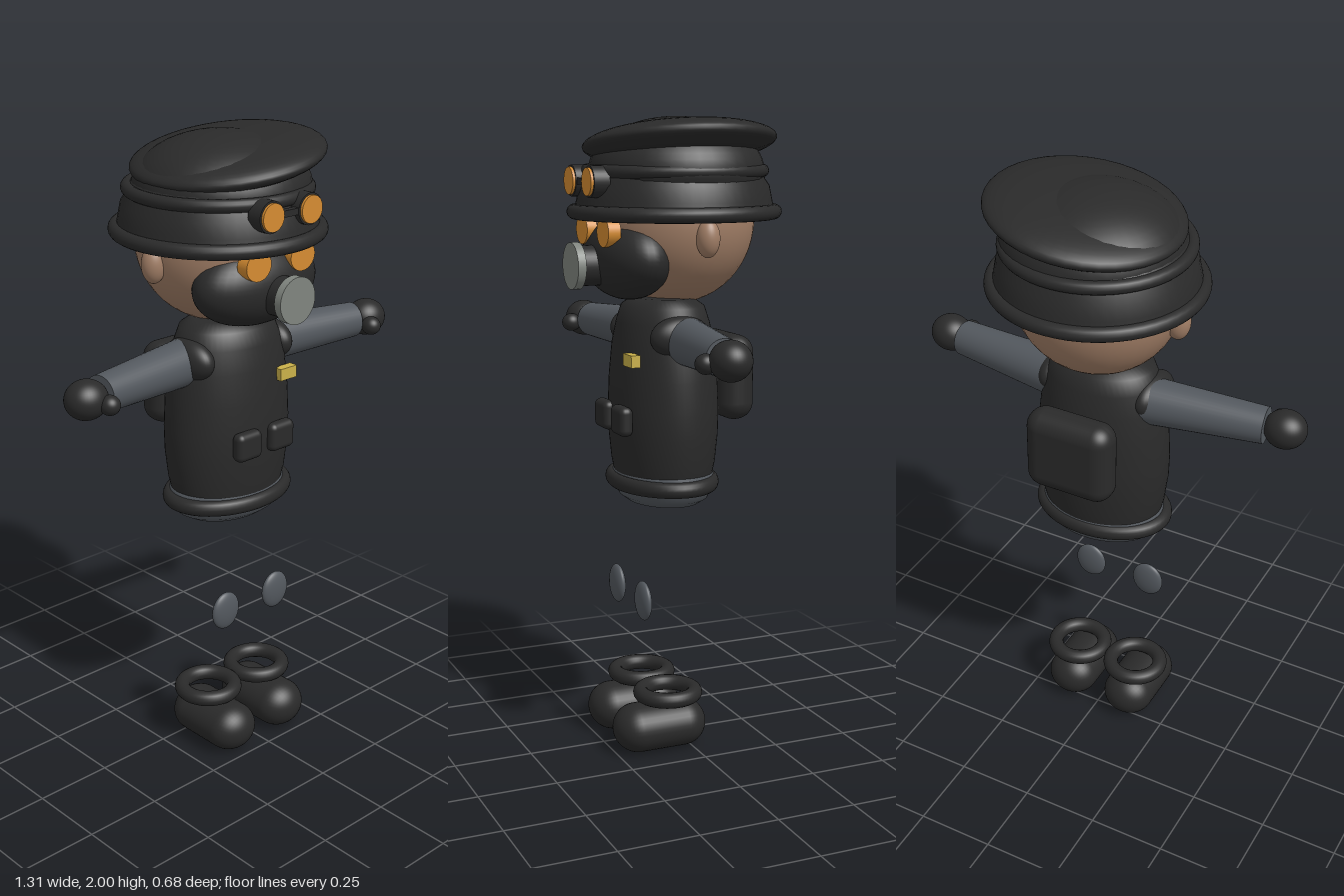
import * as THREE from 'three';
import { RoundedBoxGeometry } from 'three/addons/geometries/RoundedBoxGeometry.js';

const mat = (name, color, side = THREE.FrontSide) => {
  const m = new THREE.MeshStandardMaterial({ color, side });
  m.name = name;
  return m;
};

export function createModel() {
  const root = new THREE.Group();
  root.name = 'figure';
  const black = mat('black cloth', 0x2a2a2a, THREE.DoubleSide);
  const slate = mat('slate cloth', 0x53585e);
  const skin = mat('skin', 0xa17e66);
  const amber = mat('amber glass', 0xd58c32);
  const brass = mat('brass', 0xcbb14a);
  const steel = mat('steel', 0x80857f);

  const add = (name, geo, material, pos = [0, 0, 0], scale = [1, 1, 1], rot = [0, 0, 0], parent = root) => {
    const m = new THREE.Mesh(geo, material);
    m.name = name;
    m.position.set(...pos);
    m.scale.set(...scale);
    m.rotation.set(...rot);
    parent.add(m);
    return m;
  };
  const ball = new THREE.SphereGeometry(1, 40, 28);
  const ellipsoid = (name, material, pos, radii, rot) => add(name, ball, material, pos, radii, rot);
  // Flat ring lying in the horizontal plane
  const ring = (name, R, r, pos, sx = 1, sz = 1) =>
    add(name, new THREE.TorusGeometry(R, r, 16, 56).rotateX(Math.PI / 2), black, pos, [sx, 1, sz]);
  // Disc or tube facing forward
  const disc = (name, material, r, depth, pos, scale) =>
    add(name, new THREE.CylinderGeometry(r, r, depth, 36).rotateX(Math.PI / 2), material, pos, scale);
  const lathe = (name, material, pts, pos, sz = 1) =>
    add(name, new THREE.LatheGeometry(pts.map(p => new THREE.Vector2(...p)), 56), material, pos, [1, 1, sz]);

  // Head and breathing mask
  ellipsoid('head', skin, [0, 1.685, 0], [0.263, 0.26, 0.246]);
  ellipsoid('mask', black, [0, 1.572, 0.162], [0.23, 0.13, 0.12]);
  disc('filterTube', black, 0.062, 0.12, [0, 1.55, 0.262]);
  disc('filterCap', steel, 0.072, 0.026, [0, 1.55, 0.332]);

  // Cap: brim, open band, upper ring, dome and tilted crown
  ring('capBrim', 0.312, 0.023, [0, 1.71, 0]);
  lathe('capBand', black, [[0.312, 1.71], [0.305, 1.745], [0.296, 1.79], [0.282, 1.81], [0.275, 1.84], [0.255, 1.86]], [0, 0, 0]);
  ring('capRing', 0.274, 0.02, [0, 1.835, 0]);
  ellipsoid('capDome', black, [0.015, 1.835, 0], [0.277, 0.165, 0.272]);
  ellipsoid('capCrown', black, [0.04, 1.92, 0], [0.3, 0.062, 0.3], [0, 0, 0.15]);
  add('goggleBridge', new THREE.BoxGeometry(0.09, 0.02, 0.02), black, [0, 1.805, 0.3]);

  // Torso, hips and belt
  lathe('coat', black, [[0.195, 0.88], [0.207, 0.93], [0.218, 1.02], [0.22, 1.1], [0.215, 1.2],
    [0.203, 1.3], [0.185, 1.37], [0.165, 1.42], [0.12, 1.445], [0, 1.455]], [0, 0, 0.04], 0.755);
  lathe('hips', slate, [[0, 0.786], [0.1, 0.789], [0.15, 0.797], [0.182, 0.815], [0.195, 0.84],
    [0.204, 0.87], [0.204, 0.89], [0.196, 0.905], [0.15, 0.91]], [0, 0, 0.04], 0.74);
  ring('belt', 0.207, 0.025, [0, 0.865, 0.044], 1, 0.735);
  add('badge', new THREE.BoxGeometry(0.068, 0.038, 0.03), brass, [0.109, 1.265, 0.19]);
  add('backpack', new RoundedBoxGeometry(0.29, 0.27, 0.118, 6, 0.055), black, [0, 1.19, -0.169]);

  for (const s of [1, -1]) {
    const side = s > 0 ? 'left' : 'right';
    ellipsoid(side + 'Ear', skin, [s * 0.262, 1.64, 0.005], [0.038, 0.058, 0.036]);
    disc(side + 'MaskLens', amber, 0.05, 0.04, [s * 0.09, 1.655, 0.254], [1, 0.9, 1]);
    disc(side + 'GoggleFrame', black, 0.048, 0.05, [s * 0.078, 1.805, 0.287]);
    disc(side + 'GoggleLens', amber, 0.042, 0.009, [s * 0.078, 1.805, 0.316]);
    add(side + 'Pocket', new RoundedBoxGeometry(0.1, 0.092, 0.045, 5, 0.02), black, [s * 0.069, 1.073, 0.208]);

    // Arm: tapered sleeve reaching slightly forward
    ellipsoid(side + 'Shoulder', black, [s * 0.165, 1.335, 0.05], [0.052, 0.066, 0.1]);
    const a = new THREE.Vector3(s * 0.15, 1.322, 0.028), b = new THREE.Vector3(s * 0.53, 1.32, 0.076);
    const dir = b.clone().sub(a);
    const sleeve = add(side + 'Sleeve', new THREE.CylinderGeometry(0.057, 0.075, dir.length(), 36), slate,
      a.clone().add(b).multiplyScalar(0.5).toArray());
    sleeve.quaternion.setFromUnitVectors(new THREE.Vector3(0, 1, 0), dir.normalize());
    ellipsoid(side + 'Hand', black, [s * 0.588, 1.32, 0.085], [0.067, 0.06, 0.062]);
    ellipsoid(side + 'Thumb', black, [s * 0.55, 1.31, 0.145], [0.031, 0.03, 0.032]);

    // Knee pad and boot
    ellipsoid(side + 'KneePad', slate, [s * 0.11, 0.497, 0.155], [0.055, 0.063, 0.02]);
    add(side + 'Boot', new THREE.CapsuleGeometry(0.078, 0.152, 12, 36).rotateX(Math.PI / 2), black,
      [s * 0.11, 0.078, 0.101], [1.12, 1, 1]);
    ring(side + 'BootCuff', 0.086, 0.025, [s * 0.11, 0.183, 0.071]);
  }
  return root;
}
